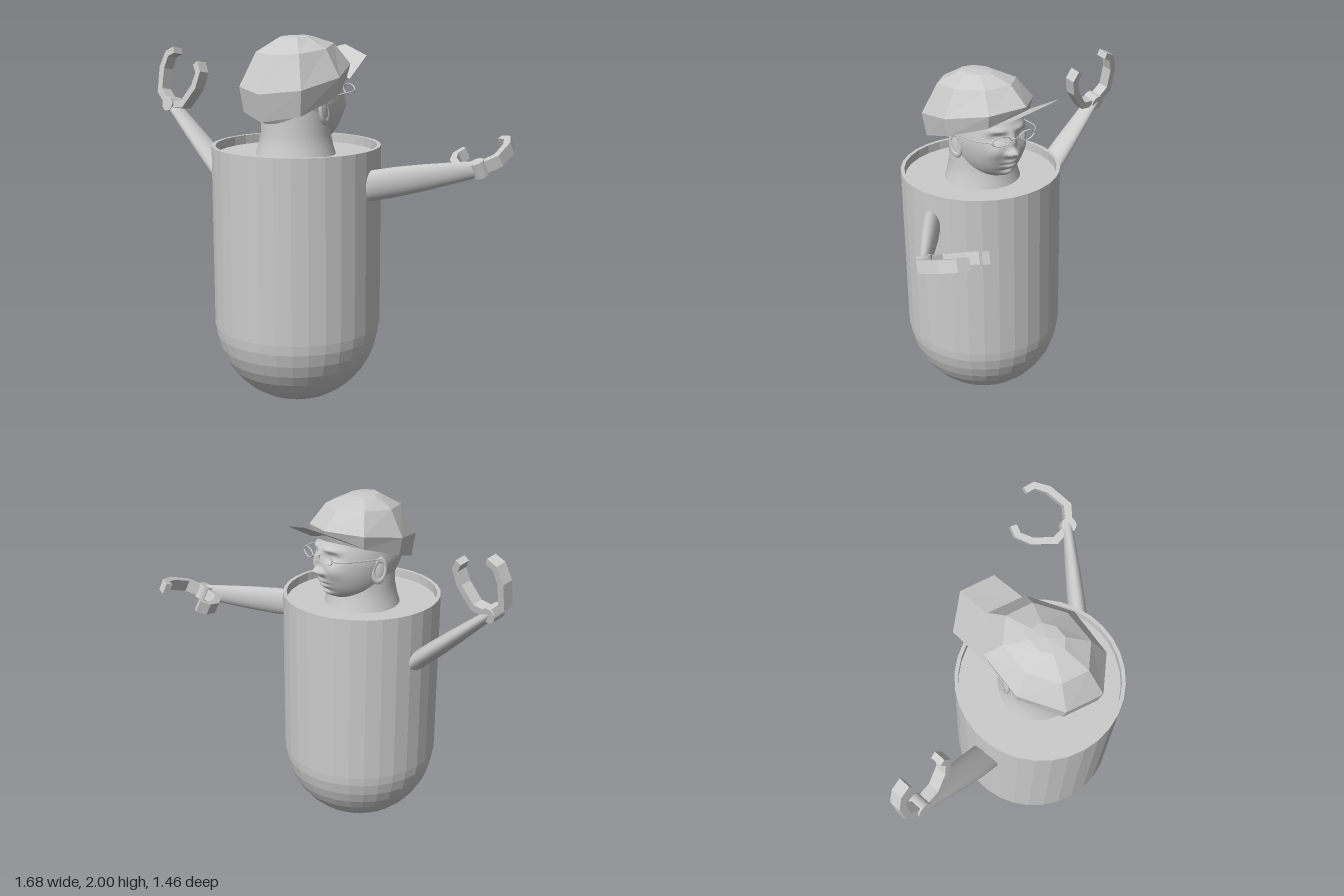
import * as THREE from 'three';
import { mergeVertices } from 'three/addons/utils/BufferGeometryUtils.js';

const V = (x, y, z) => new THREE.Vector3(x, y, z);
const smooth = new THREE.MeshStandardMaterial({ color: 0xcccccc, side: THREE.DoubleSide });
const flat = new THREE.MeshStandardMaterial({ color: 0xcccccc, side: THREE.DoubleSide, flatShading: true });

function add(parent, name, geometry, material, x = 0, y = 0, z = 0) {
  const mesh = new THREE.Mesh(geometry, material);
  mesh.name = name;
  mesh.position.set(x, y, z);
  parent.add(mesh);
  return mesh;
}

function group(parent, name, x, y, z, yaw = 0) {
  const g = new THREE.Group();
  g.name = name;
  g.position.set(x, y, z);
  g.rotation.y = yaw;
  parent.add(g);
  return g;
}

function lathe(points, sides) {
  return new THREE.LatheGeometry(points.map(([r, y]) => new THREE.Vector2(r, y)), sides);
}

// Orients an object by its y axis and (roughly) one other axis
function orient(object, yAxis, xAxis) {
  const y = yAxis.clone().normalize();
  const z = xAxis.clone().cross(y).normalize();
  const x = y.clone().cross(z);
  object.quaternion.setFromRotationMatrix(new THREE.Matrix4().makeBasis(x, y, z));
}

// Capsule-bottomed tub with a thin rim and a shallow inner floor
function bodyGeometry() {
  const profile = [];
  for (let i = 0; i <= 10; i++) {
    const a = (i / 10) * Math.PI / 2;
    profile.push([0.448 * Math.sin(a), 0.45 - 0.45 * Math.cos(a)]);
  }
  profile.push([0.453, 0.435], [0.453, 1.42], [0.432, 1.42], [0.432, 1.37], [0, 1.37]);
  return lathe(profile, 32);
}

// Sculpted head: a full ellipsoid with soft bumps [x, y, width, height, amount], mirrored
function headGeometry() {
  const bumps = [
    [0, 0.03, 0.017, 0.045, 0.022], [0, -0.04, 0.024, 0.022, 0.048], [0.03, -0.048, 0.014, 0.014, 0.024],
    [0.078, 0.045, 0.036, 0.022, -0.03], [0.078, 0.045, 0.02, 0.011, 0.013], [0.07, 0.088, 0.045, 0.014, 0.014],
    [0, -0.1, 0.036, 0.01, 0.016], [0, -0.115, 0.045, 0.006, -0.012], [0, -0.13, 0.033, 0.012, 0.016],
    [0, -0.156, 0.04, 0.008, -0.01], [0, -0.185, 0.05, 0.022, 0.022], [0.095, -0.035, 0.04, 0.04, 0.014],
  ];
  let g = new THREE.SphereGeometry(1, 96, 80);
  g.deleteAttribute('uv');
  g.deleteAttribute('normal');
  g = mergeVertices(g, 1e-5);
  const p = g.attributes.position;
  for (let i = 0; i < p.count; i++) {
    const Y = p.getY(i);
    const r = Math.hypot(p.getX(i), p.getZ(i)) || 1e-6;
    const fuller = Math.pow(r, -0.35);
    const low = Math.max(0, -Y);
    const front = p.getZ(i) > 0;
    const x = p.getX(i) * fuller * 0.198 * (1 - 0.08 * low);
    const y = Y * 0.235;
    let z = p.getZ(i) * fuller * (front ? 0.262 : 0.28 * (1 - 0.3 * low));
    if (front) {
      const fade = Math.min(1, z / 0.12);
      for (const [bx, by, w, h, amount] of bumps) {
        for (const s of bx ? [-1, 1] : [1]) {
          z += fade * amount * Math.exp(-(((x - s * bx) / w) ** 2) - ((y - by) / h) ** 2);
        }
      }
    }
    p.setXYZ(i, x, y, z);
  }
  g.computeVertexNormals();
  return g;
}

// Eight-sided cap crown; each ring is [scale, height, forward slope]
function crownGeometry() {
  const rings = [[0.93, 1.685, 0.34], [1, 1.79, 0.2], [0.7, 1.935, 0.1], [0.28, 1.993, 0.02], [0, 2, 0]];
  const points = [], index = [];
  rings.forEach(([s, y, slope], i) => {
    for (let k = 0; k < 8; k++) {
      const a = (k / 8) * Math.PI * 2;
      const z = 0.345 * s * Math.cos(a);
      points.push(0.27 * s * Math.sin(a), y + slope * z, z);
      if (i < rings.length - 1) {
        const n = i * 8 + ((k + 1) % 8), c = i * 8 + k;
        index.push(c, n, n + 8);
        if (i < rings.length - 2) index.push(c, n + 8, c + 8);
      }
    }
  });
  return facets(points, index);
}

function facets(points, index) {
  const g = new THREE.BufferGeometry();
  g.setAttribute('position', new THREE.Float32BufferAttribute(points, 3));
  g.setIndex(index);
  const out = g.toNonIndexed();
  out.computeVertexNormals();
  return out;
}

function brimGeometry() {
  const points = [
    -0.2, 1.76, 0.22, 0, 1.82, 0.31, 0.2, 1.76, 0.22,
    -0.185, 1.87, 0.43, 0, 1.92, 0.51, 0.185, 1.87, 0.43,
  ];
  return facets(points, [0, 3, 4, 0, 4, 1, 1, 4, 5, 1, 5, 2]);
}

// One hooked pincer finger, cut from plate
function fingerGeometry() {
  const outline = [
    [0.015, -0.02], [0.12, 0.025], [0.172, 0.165], [0.165, 0.265], [0.115, 0.31],
    [0.092, 0.28], [0.13, 0.245], [0.132, 0.17], [0.092, 0.06], [0.015, 0.025],
  ];
  const shape = new THREE.Shape(outline.map(([x, y]) => new THREE.Vector2(x, y)));
  const g = new THREE.ExtrudeGeometry(shape, { depth: 0.066, bevelEnabled: false });
  return g.translate(0, 0, -0.033);
}

// Flattened tapering arm with a round wrist joint and a two-finger pincer
function addArm(parent, side, shoulder, wrist, wide, open, normal) {
  const arm = group(parent, side + 'Arm', 0, 0, 0);
  const dir = wrist.clone().sub(shoulder);
  const L = dir.length();
  const profile = [[0, -0.1], [0.078, -0.1], [0.082, 0], [0.08, L * 0.25], [0.071, L * 0.5], [0.058, L * 0.75], [0.044, L]];
  const limb = add(arm, side + 'Forearm', lathe(profile, 24), smooth, ...shoulder.toArray());
  orient(limb, dir, wide);
  limb.scale.z = 0.6;

  const claw = group(arm, side + 'Claw', ...wrist.toArray());
  orient(claw, open, open.clone().cross(normal));
  const joint = add(claw, side + 'WristJoint', new THREE.CylinderGeometry(0.043, 0.043, 0.085, 20), flat);
  joint.rotation.x = Math.PI / 2;
  for (const s of [0, Math.PI]) {
    add(claw, side + 'Finger', fingerGeometry(), flat).rotation.y = s;
  }
}

function addGlasses(head) {
  const glasses = group(head, 'glasses', 0, 0.048, 0);
  for (const s of [-1, 1]) {
    const rim = add(glasses, 'lensRim', new THREE.TorusGeometry(0.055, 0.005, 6, 28), smooth, s * 0.082, 0, 0.277);
    rim.scale.y = 0.5;
    rim.rotation.y = s * 0.15;
    const temple = new THREE.CatmullRomCurve3([V(s * 0.137, 0, 0.27), V(s * 0.19, 0, 0.2), V(s * 0.212, -0.015, -0.01)]);
    add(glasses, 'temple', new THREE.TubeGeometry(temple, 10, 0.004, 6), smooth);
  }
  const bridge = new THREE.CatmullRomCurve3([V(-0.028, 0, 0.285), V(0, 0.008, 0.298), V(0.028, 0, 0.285)]);
  add(glasses, 'bridge', new THREE.TubeGeometry(bridge, 8, 0.004, 6), smooth);
}

function addEars(head) {
  for (const s of [-1, 1]) {
    const ear = group(head, 'ear', s * 0.198, -0.035, -0.005);
    ear.rotation.set(-0.15, s * -0.35, 0);
    const rim = add(ear, 'earRim', new THREE.TorusGeometry(0.034, 0.012, 8, 24), smooth);
    rim.rotation.y = Math.PI / 2;
    rim.scale.y = 1.75;
    add(ear, 'earInner', new THREE.SphereGeometry(1, 16, 12), smooth, 0, -0.005, 0.003).scale.set(0.011, 0.065, 0.034);
  }
}

export function createModel() {
  const model = new THREE.Group();
  model.name = 'figure';

  add(model, 'body', bodyGeometry(), flat, -0.295, 0, 0.21);

  // Neck and head, turned toward the side
  const neck = [[0.215, 1.37], [0.2, 1.42], [0.185, 1.49], [0.185, 1.62]];
  add(model, 'neck', lathe(neck, 32), smooth, -0.295, 0, 0.2);
  const head = group(model, 'head', -0.26, 1.65, 0.18, THREE.MathUtils.degToRad(111));
  add(head, 'face', headGeometry(), smooth);
  addEars(head);
  addGlasses(head);

  // Low-poly cap, worn slightly askew
  const cap = group(model, 'cap', -0.3, 0, 0.22, THREE.MathUtils.degToRad(128));
  add(cap, 'capCrown', crownGeometry(), flat);
  add(cap, 'capBrim', brimGeometry(), flat);

  addArm(model, 'left', V(0, 1.235, 0.55), V(0.555, 1.31, 0.68), V(-0.14, 0.97, 0), V(0.53, 0.23, -0.81), V(-0.4, 0.92, 0));
  addArm(model, 'right', V(-0.53, 1.13, -0.17), V(-0.78, 1.56, -0.6), V(0.87, 0, -0.5), V(0.08, 0.25, 0.05), V(0.87, -0.18, -0.46));

  return model;
}
